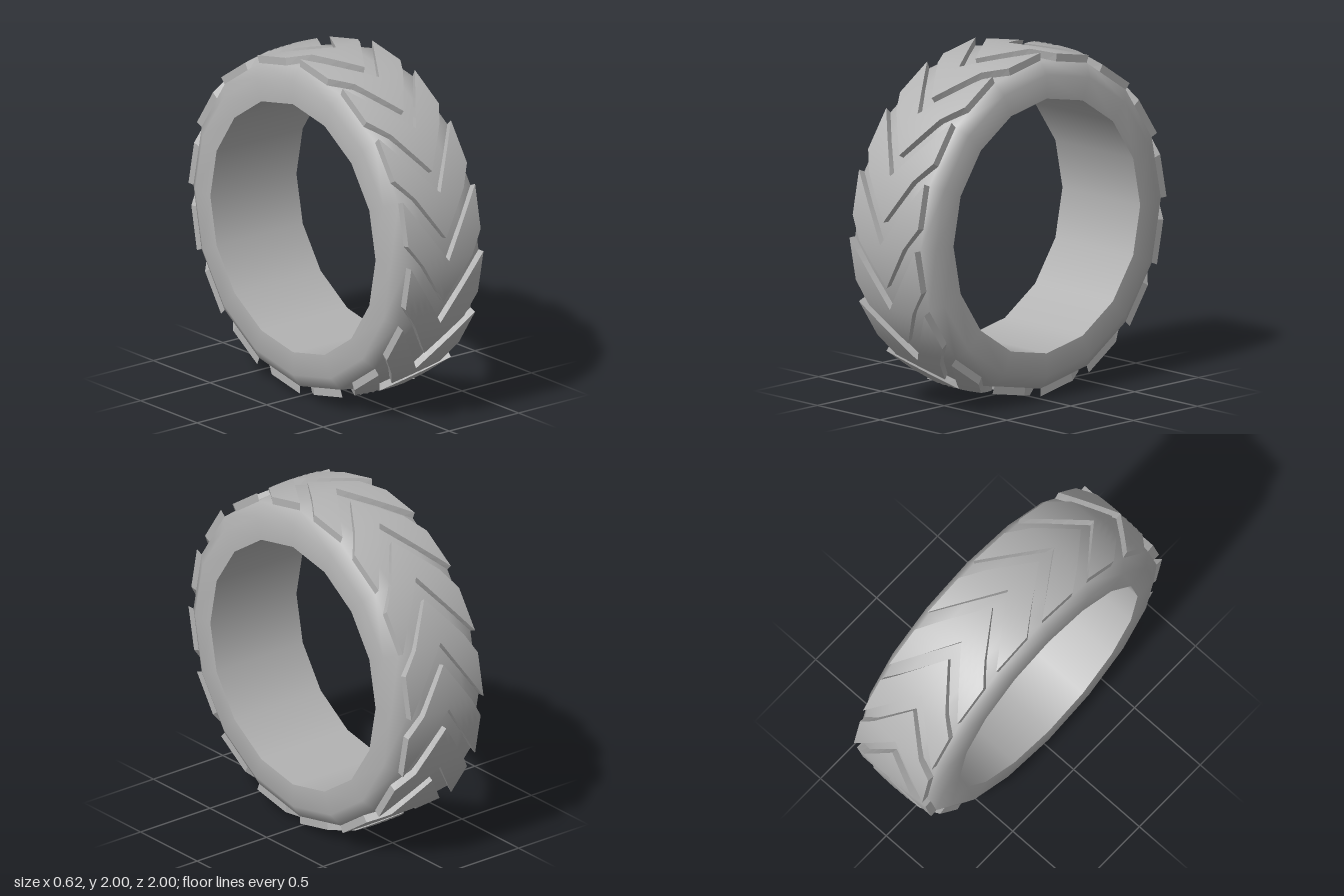
import * as THREE from 'three';

const SEGMENTS = 16;
const STEP = (Math.PI * 2) / SEGMENTS;
const HALF = 0.26; // half width of the tread
const COLS = 6; // columns per half chevron
const ROWS = 4; // rows along each chevron

// Scale that flattens a circle onto the 16-sided ring
function facet(theta) {
  const local = ((theta % STEP) + STEP) % STEP;
  return Math.cos(STEP / 2) / Math.cos(local - STEP / 2);
}

const crown = (x) => 1 - 0.015 * (x / HALF) ** 2;

function ringPoint(x, theta, radius) {
  const r = radius * facet(theta);
  return new THREE.Vector3(x, r * Math.cos(theta), r * Math.sin(theta));
}

// Column i runs across the tyre, row j runs around it; the V points along +theta
function cell(i, j) {
  const x = (i / COLS) * HALF;
  const theta = ((COLS - Math.abs(i) + j) * STEP) / COLS;
  return { x, theta };
}

// Smooth outer face of one chevron
function chevronTop() {
  const positions = [], normals = [], index = [];
  for (let i = -COLS; i <= COLS; i++) {
    for (let j = 0; j <= ROWS; j++) {
      const { x, theta } = cell(i, j);
      positions.push(...ringPoint(x, theta, crown(x)).toArray());
      const slope = (0.03 * x) / HALF ** 2;
      normals.push(...new THREE.Vector3(slope, Math.cos(theta), Math.sin(theta)).normalize().toArray());
    }
  }
  const n = ROWS + 1;
  for (let i = 0; i < COLS * 2; i++) {
    for (let j = 0; j < ROWS; j++) {
      const a = i * n + j, b = a + 1, d = a + n, c = d + 1;
      index.push(a, b, c, a, c, d);
    }
  }
  const g = new THREE.BufferGeometry();
  g.setAttribute('position', new THREE.Float32BufferAttribute(positions, 3));
  g.setAttribute('normal', new THREE.Float32BufferAttribute(normals, 3));
  g.setIndex(index);
  return g;
}

// Walls from the chevron outline down into the casing
function chevronWalls() {
  const outline = [];
  for (let j = 0; j < ROWS; j++) outline.push(cell(-COLS, j));
  for (let i = -COLS; i < COLS; i++) outline.push(cell(i, ROWS));
  for (let j = ROWS; j > 0; j--) outline.push(cell(COLS, j));
  for (let i = COLS; i > -COLS; i--) outline.push(cell(i, 0));
  const positions = [];
  outline.forEach((p, k) => {
    const q = outline[(k + 1) % outline.length];
    const pLow = ringPoint(p.x, p.theta, 0.93), qLow = ringPoint(q.x, q.theta, 0.93);
    const pTop = ringPoint(p.x, p.theta, crown(p.x)), qTop = ringPoint(q.x, q.theta, crown(q.x));
    for (const v of [pLow, qLow, qTop, pLow, qTop, pTop]) positions.push(...v.toArray());
  });
  const g = new THREE.BufferGeometry();
  g.setAttribute('position', new THREE.Float32BufferAttribute(positions, 3));
  g.computeVertexNormals();
  return g;
}

// Surface of revolution around the x axis from [radius, x] pairs
function ring(profile) {
  const points = profile.map(([r, x]) => new THREE.Vector2(r, x));
  return new THREE.LatheGeometry(points, SEGMENTS).rotateZ(Math.PI / 2);
}

export function createModel() {
  const rubber = new THREE.MeshStandardMaterial({ color: 0xb3b3b3 });
  rubber.name = 'grey rubber';

  const tyre = new THREE.Group();
  tyre.name = 'tyre';
  tyre.position.y = 1;

  const add = (parent, name, geometry) => {
    const mesh = new THREE.Mesh(geometry, rubber);
    mesh.name = name;
    parent.add(mesh);
  };

  // Casing: sidewalls, shoulders and crown, then the inner bore
  add(tyre, 'casing', ring([
    [0.73, -0.31], [0.865, -0.31], [0.94, -0.26], [0.957, -0.14], [0.962, 0],
    [0.957, 0.14], [0.94, 0.26], [0.865, 0.31], [0.73, 0.31],
  ]));
  add(tyre, 'innerBore', ring([[0.73, 0.31], [0.73, -0.31]]));

  // Chevron tread blocks, one per segment
  const top = chevronTop();
  const walls = chevronWalls();
  for (let k = 0; k < SEGMENTS; k++) {
    const block = new THREE.Group();
    block.name = 'treadBlock';
    block.rotation.x = k * STEP;
    add(block, 'treadFace', top);
    add(block, 'treadWalls', walls);
    tyre.add(block);
  }

  const model = new THREE.Group();
  model.name = 'chevronTyre';
  model.add(tyre);
  return model;
}
